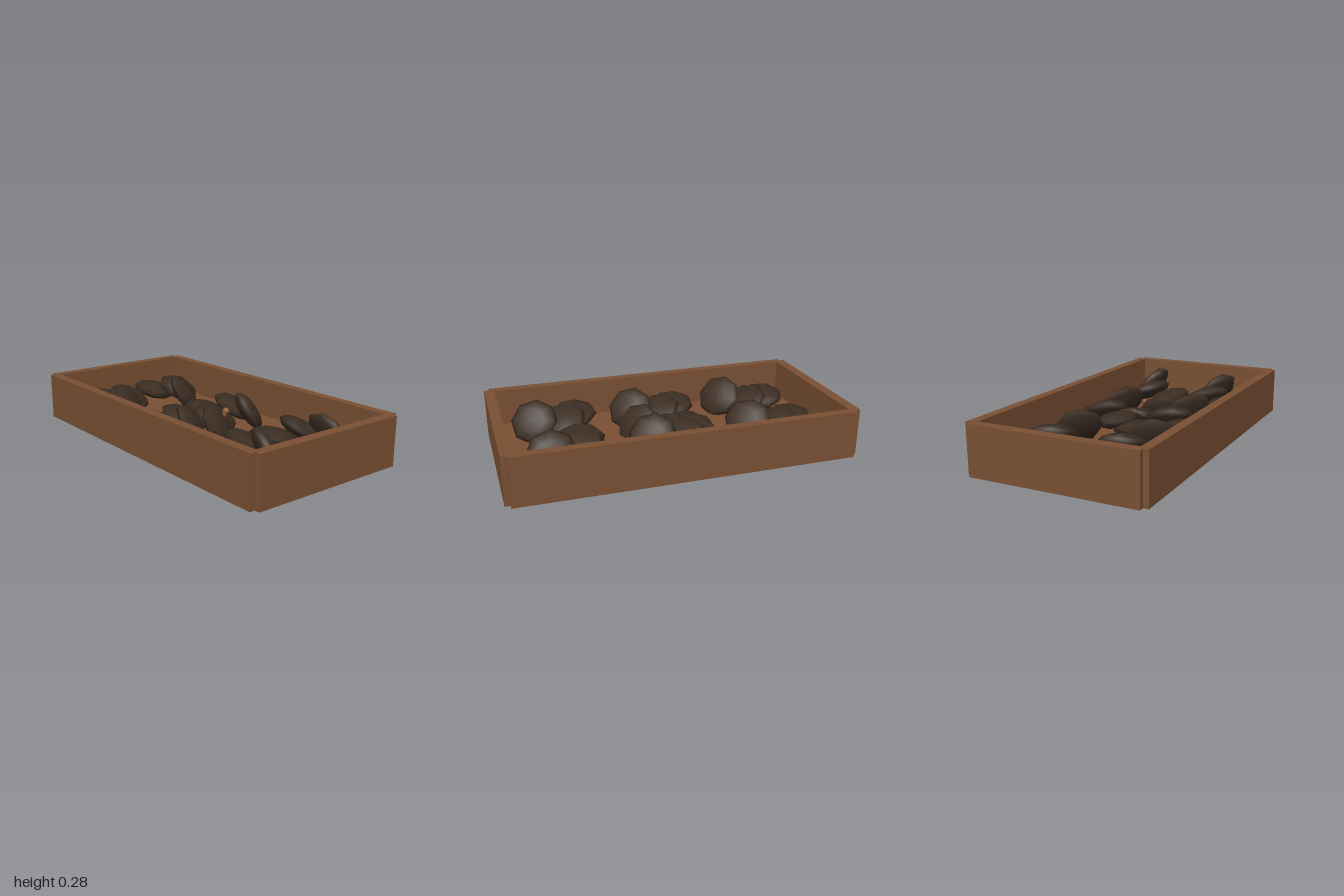
import * as THREE from 'three';

export function createModel() {
  const wood = new THREE.MeshStandardMaterial({ color: 0x7a5033 });
  wood.name = 'brown wood';
  const shell = new THREE.MeshStandardMaterial({ color: 0x3b2d22 });
  shell.name = 'dark seed shell';
  const kernel = new THREE.MeshStandardMaterial({ color: 0x8a5636 });
  kernel.name = 'light brown kernel';

  const model = new THREE.Group();
  model.name = 'seedTray';
  const add = (parent, name, geometry, material, x, y, z) => {
    const mesh = new THREE.Mesh(geometry, material);
    mesh.name = name;
    mesh.position.set(x, y, z);
    parent.add(mesh);
    return mesh;
  };

  // Tray walls: a rectangle with notched corners, open in the middle
  const H = 0.28, F = 0.06;
  const corner = [[1, 0.48], [0.97, 0.48], [0.97, 0.51]];
  const outline = [
    ...corner,
    ...corner.map(([x, z]) => [-x, z]).reverse(),
    ...corner.map(([x, z]) => [-x, -z]),
    ...corner.map(([x, z]) => [x, -z]).reverse(),
  ];
  const vec = ([x, z]) => new THREE.Vector2(x, z);
  const frame = new THREE.Shape(outline.map(vec));
  frame.holes.push(new THREE.Path([[0.94, 0.455], [0.94, -0.455], [-0.94, -0.455], [-0.94, 0.455]].map(vec)));
  const walls = new THREE.ExtrudeGeometry(frame, { depth: H, bevelEnabled: false });
  walls.rotateX(-Math.PI / 2);
  add(model, 'trayWalls', walls, wood, 0, 0, 0);

  // Tray floor
  add(model, 'trayFloor', new THREE.BoxGeometry(1.88, F, 0.91), wood, 0, F / 2, 0);

  // One flattened, eight-sided seed, shared by every pile
  const seed = new THREE.SphereGeometry(1, 8, 6);
  seed.scale(0.142, 0.05, 0.135);

  // Each pile: a low seed, one leaning on it, and a steep one: [name, x, y, z, turn, tilt]
  const pile = [
    ['lowSeed', -0.02, 0.13, 0.17, 10, 14],
    ['leaningSeed', 0, 0.15, 0, -15, 28],
    ['steepSeed', 0.153, 0.16, -0.062, 0, 57],
  ];
  // Piles: [x, z, turn in degrees, drop]
  const piles = [
    [-0.60, -0.24, 45, 0],
    [-0.58, 0.17, 54, 0],
    [-0.02, -0.24, 31, 0],
    [0.025, -0.055, 56, 0.035],
    [0.0, 0.17, 40, 0],
    [0.56, -0.23, 6, 0],
    [0.58, 0.18, 25, 0],
  ];
  const rad = THREE.MathUtils.degToRad;
  piles.forEach(([x, z, turn, drop]) => {
    const group = new THREE.Group();
    group.name = 'seedPile';
    group.position.set(x, -drop, z);
    group.rotation.y = -rad(turn);
    for (const [name, sx, sy, sz, spin, tilt] of pile) {
      const mesh = add(group, name, seed, shell, sx, sy, sz);
      mesh.rotation.set(-rad(tilt), rad(spin), 0, 'YXZ');
    }
    model.add(group);
  });

  // Small kernels resting on the middle pile
  const kernelShape = new THREE.SphereGeometry(0.022, 8, 6);
  [[0.13, 0.185, -0.05], [0.14, 0.165, -0.015]].forEach(([x, y, z]) =>
    add(model, 'kernel', kernelShape, kernel, x, y, z));

  return model;
}
